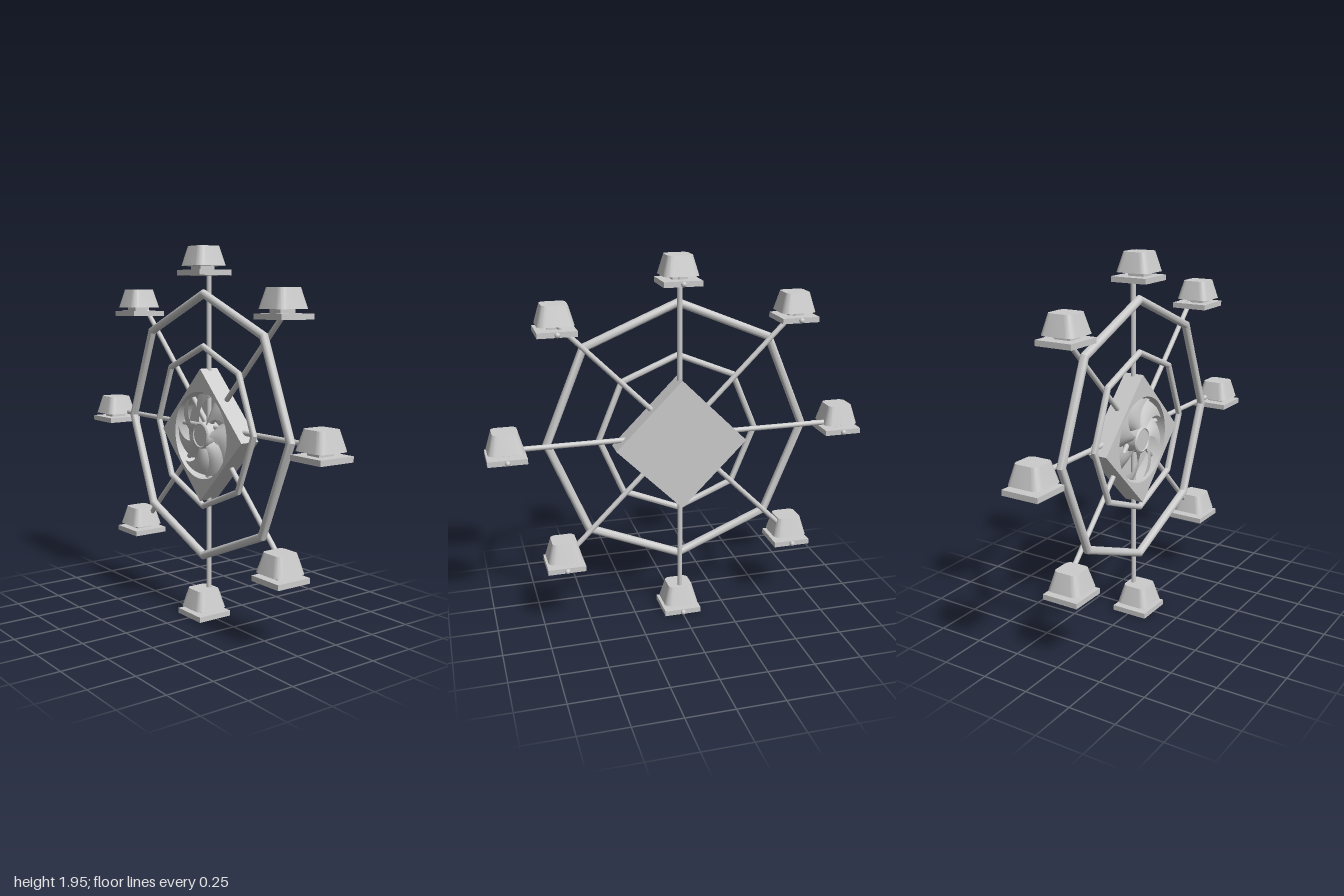
import * as THREE from 'three';
import { toCreasedNormals } from 'three/addons/utils/BufferGeometryUtils.js';
import { ParametricGeometry } from 'three/addons/geometries/ParametricGeometry.js';

const AXLE_Y = 1.025; // wheel centre
const HUB_Y = 0.982; // motor housing centre
const grey = new THREE.MeshStandardMaterial({ color: 0xcccccc });
const thin = new THREE.MeshStandardMaterial({ color: 0xcccccc, side: THREE.DoubleSide });

function add(parent, name, geometry, x = 0, y = 0, z = 0, material = grey) {
  const mesh = new THREE.Mesh(geometry, material);
  mesh.name = name;
  mesh.position.set(x, y, z);
  parent.add(mesh);
  return mesh;
}

// Eight-sided ring with mitred corners
function ringGeometry(radius, tube) {
  return toCreasedNormals(new THREE.TorusGeometry(radius, tube, 16, 8), 0.6);
}

// Rounded square that tapers towards the top
function cabinGeometry() {
  const h = 0.093, r = 0.04, height = 0.1;
  const s = new THREE.Shape();
  for (let i = 0; i < 4; i++) {
    const a = (i * Math.PI) / 2;
    const cx = (h - r) * (i === 0 || i === 3 ? 1 : -1);
    const cy = (h - r) * (i < 2 ? 1 : -1);
    s.absarc(cx, cy, r, a, a + Math.PI / 2, false);
  }
  s.closePath();
  const g = new THREE.ExtrudeGeometry(s, { depth: height, bevelEnabled: false, curveSegments: 6 });
  g.rotateX(-Math.PI / 2);
  const p = g.attributes.position;
  for (let i = 0; i < p.count; i++) {
    const k = 1 - 0.3 * (p.getY(i) / height);
    p.setX(i, p.getX(i) * k);
    p.setZ(i, p.getZ(i) * k);
  }
  return toCreasedNormals(g, 0.6);
}

// Swept, pitched fan blade
function bladeGeometry() {
  return new ParametricGeometry((u, v, target) => {
    const r = 0.06 + 0.158 * u;
    const a = -0.45 * u * u + (v - 0.5) * (0.6 + 0.22 * u);
    const z = 0.03 * (0.5 - v) * 2 * (1 - 0.25 * u) + 0.012 * Math.sin(Math.PI * v);
    target.set(r * Math.cos(a), r * Math.sin(a), z);
  }, 10, 8);
}

function diamond(radius) {
  const s = new THREE.Shape();
  s.moveTo(radius, 0);
  s.lineTo(0, radius);
  s.lineTo(-radius, 0);
  s.lineTo(0, -radius);
  s.closePath();
  return s;
}

function buildHub() {
  const hub = new THREE.Group();
  hub.name = 'fanHub';
  hub.position.y = HUB_Y;

  // Diamond housing with a round recess and a closed back
  const frame = diamond(0.35);
  const hole = new THREE.Path();
  hole.absarc(0, 0, 0.23, 0, Math.PI * 2, true);
  frame.holes.push(hole);
  add(hub, 'housing', new THREE.ExtrudeGeometry(frame, { depth: 0.09, bevelEnabled: false, curveSegments: 48 }), 0, 0, -0.055);
  add(hub, 'housingBack', new THREE.ExtrudeGeometry(diamond(0.35), { depth: 0.02, bevelEnabled: false }), 0, 0, -0.075);

  // Fan
  const blade = bladeGeometry();
  for (let i = 0; i < 7; i++) {
    add(hub, 'fanBlade', blade, 0, 0, 0, thin).rotation.z = (i * Math.PI * 2) / 7 + 0.3;
  }
  const cap = new THREE.LatheGeometry([
    new THREE.Vector2(0.07, -0.05), new THREE.Vector2(0.07, 0.03), new THREE.Vector2(0.062, 0.037),
    new THREE.Vector2(0.058, 0.032), new THREE.Vector2(0, 0.032),
  ], 40);
  add(hub, 'fanCap', toCreasedNormals(cap, 0.5)).rotation.x = Math.PI / 2;
  return hub;
}

export function createModel() {
  const model = new THREE.Group();
  model.name = 'ferrisWheel';

  add(model, 'outerRing', ringGeometry(0.692, 0.023), 0, AXLE_Y, 0.012);
  add(model, 'innerRing', ringGeometry(0.422, 0.017), 0, AXLE_Y, 0.014);
  model.add(buildHub());

  const cabinBody = cabinGeometry();
  const base = new THREE.BoxGeometry(0.2, 0.028, 0.2);
  const neck = new THREE.BoxGeometry(0.08, 0.03, 0.09);
  const pin = new THREE.SphereGeometry(0.014, 16, 12);

  for (let i = 0; i < 8; i++) {
    const a = (i * Math.PI) / 4;
    const upright = i === 2 || i === 6;

    // Spoke
    const length = i === 2 ? 0.83 : i === 6 ? 0.975 : 0.89;
    const spoke = new THREE.CylinderGeometry(0.0135, 0.0135, length, 16);
    spoke.translate(0, length / 2, 0);
    add(model, 'spoke', spoke, 0, AXLE_Y, -0.023).rotation.z = a - Math.PI / 2;

    // Cabin, always level
    const cabin = new THREE.Group();
    cabin.name = 'cabin';
    const r = upright ? 0.903 : i % 2 ? 0.888 : 0.9;
    cabin.position.set(r * Math.cos(a), AXLE_Y + r * Math.sin(a) - (upright ? 0.118 : 0.057), 0.008);
    add(cabin, 'cabinBase', base, 0, 0.014, 0);
    add(cabin, 'cabinNeck', neck, 0, 0.04, 0.008);
    add(cabin, 'cabinBody', cabinBody, 0, 0.048, 0.004);
    add(cabin, 'cabinPin', pin, 0, 0.014, -0.106);
    model.add(cabin);
  }
  return model;
}
